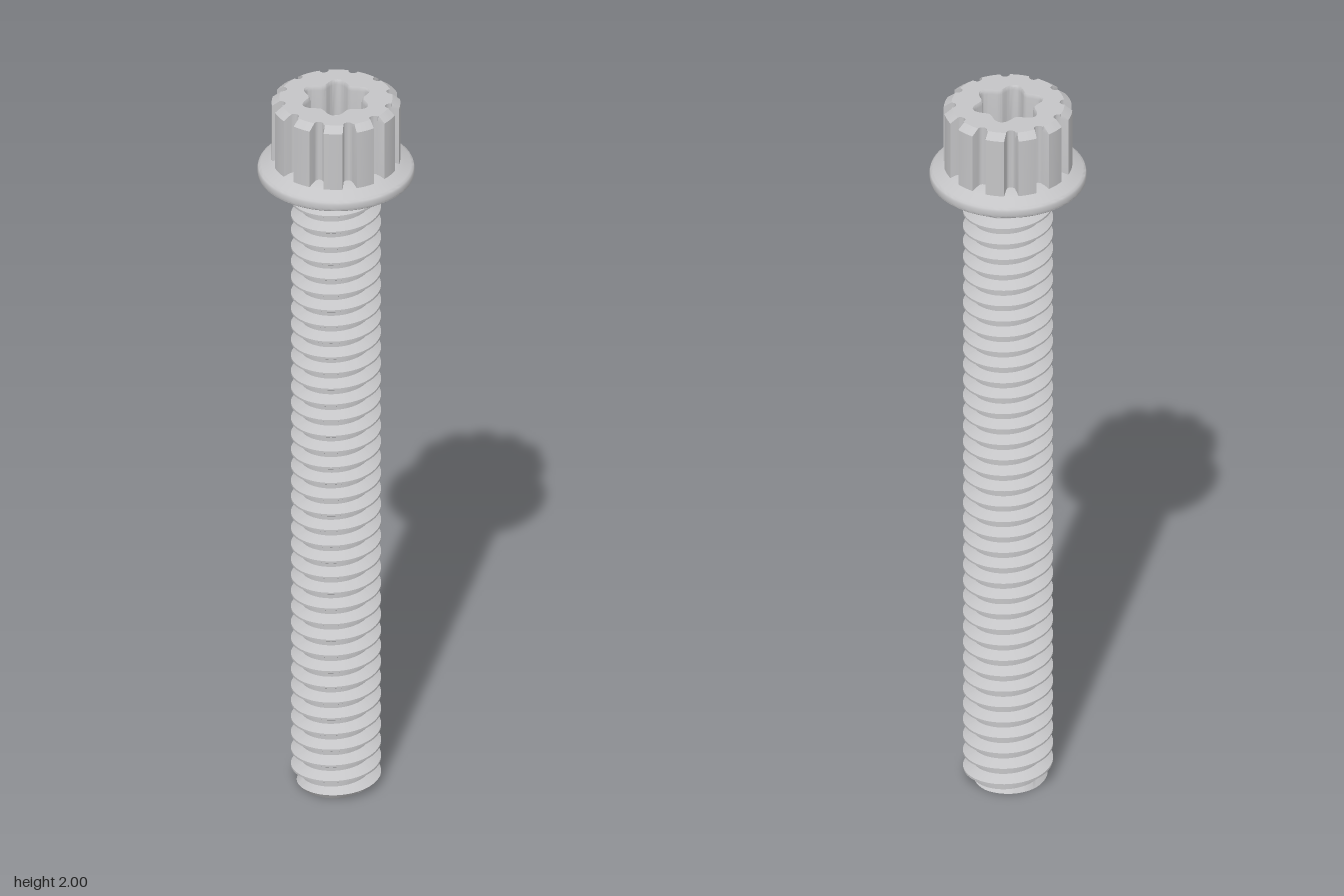
import * as THREE from 'three';
import { toCreasedNormals } from 'three/addons/utils/BufferGeometryUtils.js';

const TAU = Math.PI * 2;
const polar = (r, a, y) => new THREE.Vector3(r * Math.cos(a), y, -r * Math.sin(a));

// Skin a list of rings (equal point counts, first point repeated at the end)
function loft(rings, crease) {
  const pos = [];
  const n = new THREE.Vector3(), e = new THREE.Vector3();
  const tri = (a, b, c) => {
    n.subVectors(b, a).cross(e.subVectors(c, a));
    if (n.length() > 1e-10) pos.push(a.x, a.y, a.z, b.x, b.y, b.z, c.x, c.y, c.z);
  };
  for (let j = 0; j < rings.length - 1; j++) {
    const p = rings[j], q = rings[j + 1];
    for (let i = 0; i < p.length - 1; i++) {
      tri(p[i], p[i + 1], q[i + 1]);
      tri(p[i], q[i + 1], q[i]);
    }
  }
  const g = new THREE.BufferGeometry();
  g.setAttribute('position', new THREE.Float32BufferAttribute(pos, 3));
  return toCreasedNormals(g, crease);
}

// Right-hand helical thread with a chamfered, closed tip
function threadGeometry() {
  const pitch = 0.046, root = 0.089, crest = 0.115, top = 1.765, segs = 64;
  const breaks = [0, 0.22, 0.55, 0.67]; // root flat, flank, crest flat, flank
  const radius = (y, a) => {
    let f = y / pitch - a / TAU;
    f -= Math.floor(f);
    let k = 0;
    if (f > 0.22 && f < 0.55) k = (f - 0.22) / 0.33;
    else if (f >= 0.55 && f <= 0.67) k = 1;
    else if (f > 0.67) k = (1 - f) / 0.33;
    return Math.min(root + (crest - root) * k, 0.097 + y * 0.7);
  };
  const angles = Array.from({ length: segs + 1 }, (_, i) => (i / segs) * TAU);
  const rings = [angles.map(() => new THREE.Vector3(0, 0, 0))];
  for (let turn = -2; turn <= Math.ceil(top / pitch); turn++) {
    for (const b of breaks) {
      rings.push(angles.map((a) => {
        const y = THREE.MathUtils.clamp(pitch * (turn + b + a / TAU), 0, top);
        return polar(radius(y, a), a, y);
      }));
    }
  }
  return loft(rings, 0.5);
}

// Twelve-tooth head with scalloped gaps and a six-lobed socket
function headGeometry() {
  const teeth = 12, outline = [];
  for (let t = 0; t < teeth; t++) {
    const mid = (t / teeth) * TAU;
    for (let i = -2; i <= 2; i++) outline.push([0.164, mid + i * 0.0745]);
    for (let i = 0; i <= 8; i++) {
      const f = (i / 8) * Math.PI;
      const u = -0.0122 * Math.cos(f), v = 0.144 - 0.0122 * Math.sin(f);
      outline.push([Math.hypot(u, v), mid + Math.PI / teeth + Math.atan2(u, v)]);
    }
  }
  outline.push([outline[0][0], outline[0][1] + TAU]);

  const outer = (y, limit) => outline.map(([r, a]) => polar(Math.min(r, limit), a, y));
  const star = (y, s) => outline.map(([, a]) => polar((0.077 + 0.0115 * Math.cos(6 * a)) * s, a, y));
  return loft([
    outer(1.81, 1), outer(1.985, 1), outer(2, 0.144),          // teeth and top bevel
    star(2, 1.06), star(1.996, 1.02), star(1.988, 1),          // socket lip
    star(1.9, 0.97), star(1.865, 0),                           // socket wall and floor
  ], 0.6);
}

// Neck, flange and the fillet running up into the head
function flangeGeometry() {
  const profile = [
    [0.088, 1.735], [0.104, 1.748], [0.109, 1.765], [0.116, 1.774], [0.125, 1.777],
    [0.194, 1.777], [0.199, 1.781], [0.2, 1.786], [0.2, 1.797], [0.198, 1.803],
    [0.192, 1.807], [0.175, 1.815], [0.165, 1.822], [0.15, 1.828], [0.12, 1.832],
  ].map(([r, y]) => new THREE.Vector2(r, y));
  return toCreasedNormals(new THREE.LatheGeometry(profile, 96), 0.7);
}

export function createModel() {
  const steel = new THREE.MeshStandardMaterial({ color: 0xc4c4c6 });
  steel.name = 'steel';
  const bolt = new THREE.Group();
  bolt.name = 'bolt';
  const parts = {
    threadedShank: threadGeometry(),
    flange: flangeGeometry(),
    splinedHead: headGeometry(),
  };
  for (const [name, geometry] of Object.entries(parts)) {
    const mesh = new THREE.Mesh(geometry, steel);
    mesh.name = name;
    bolt.add(mesh);
  }
  return bolt;
}
